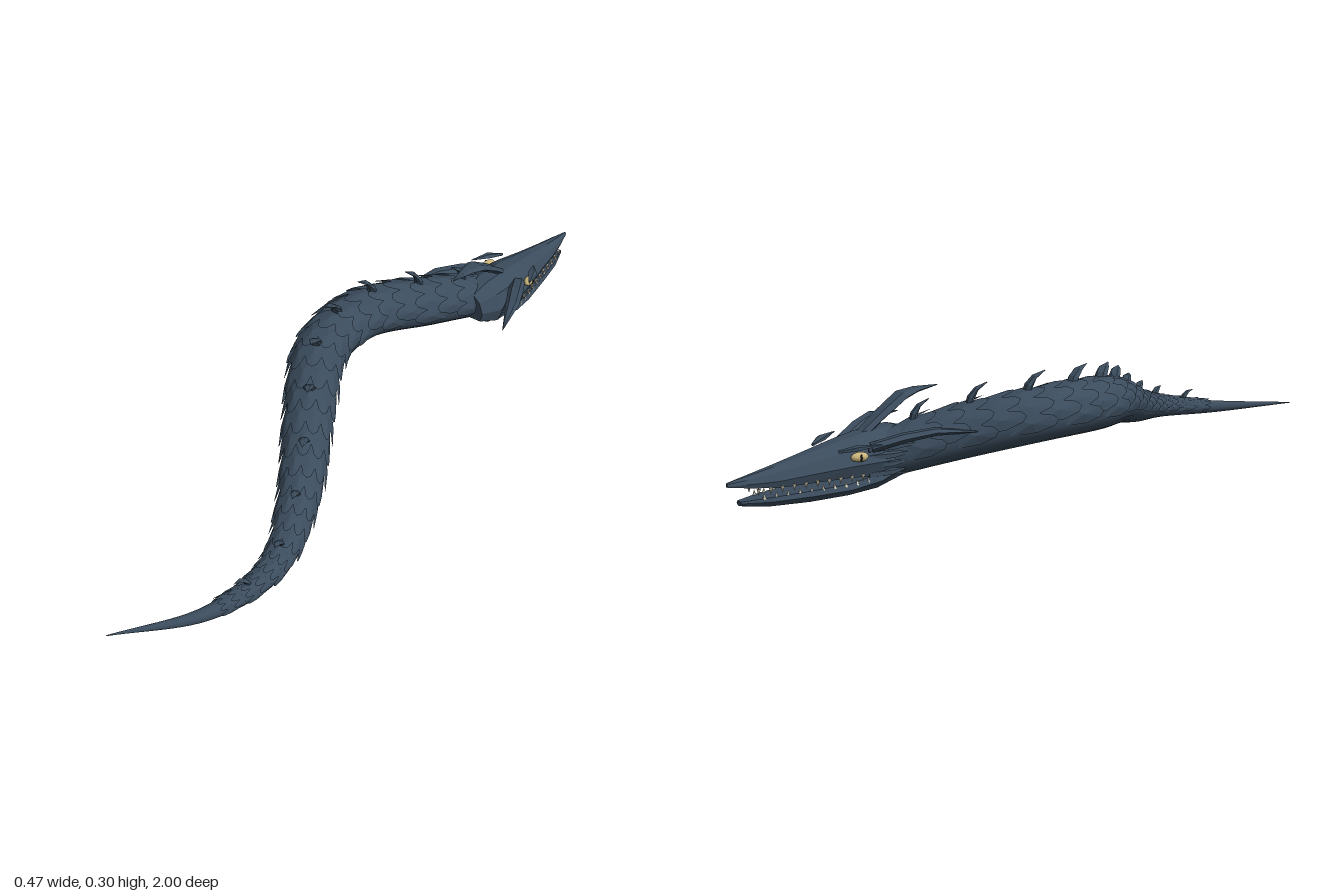
import * as THREE from 'three';
import { mergeGeometries } from 'three/addons/utils/BufferGeometryUtils.js';

const V = (x, y, z) => new THREE.Vector3(x, y, z);
const UP = V(0, 1, 0);
const HX = 0.02; // head centre line

// spine stations every 0.2 in z from -0.6 to 1: x, y, half width, half height
const STATIONS = [
  [0.02, 0.11, 0.058, 0.058], [-0.065, 0.152, 0.069, 0.065], [-0.15, 0.183, 0.072, 0.066],
  [-0.137, 0.179, 0.07, 0.065], [-0.02, 0.143, 0.062, 0.058], [0.11, 0.084, 0.051, 0.047],
  [0.193, 0.042, 0.034, 0.031], [0.155, 0.02, 0.018, 0.018], [0.02, 0.025, 0.001, 0.001],
];
const spineCurve = new THREE.CatmullRomCurve3(STATIONS.map((s, i) => V(s[0], s[1], -0.6 + 0.2 * i)), false, 'catmullrom');
const sizeCurve = new THREE.CatmullRomCurve3(STATIONS.map(s => V(s[2], s[3], 0)), false, 'catmullrom');

// local frame of the body at a given z
function bodyFrame(z) {
  const t = THREE.MathUtils.clamp((z + 0.6) / 1.6, 0, 1);
  const dir = spineCurve.getTangent(t);
  const side = UP.clone().cross(dir).normalize();
  const size = sizeCurve.getPoint(t);
  return { c: spineCurve.getPoint(t), dir, side, up: dir.clone().cross(side), rx: Math.max(size.x, 0.001), ry: Math.max(size.y, 0.001) };
}

function bodyPoint(f, angle, lift = 0) {
  return f.c.clone().addScaledVector(f.side, Math.cos(angle) * (f.rx + lift))
    .addScaledVector(f.up, Math.sin(angle) * (f.ry + lift));
}

// skin a list of equal rings and close both ends
function loft(rings, flat = true) {
  const n = rings[0].length, pos = [], idx = [];
  rings.forEach(r => r.forEach(p => pos.push(p.x, p.y, p.z)));
  for (let i = 0; i < rings.length - 1; i++) for (let j = 0; j < n; j++) {
    const a = i * n + j, b = i * n + (j + 1) % n;
    idx.push(a, b, a + n, b, b + n, a + n);
  }
  const last = (rings.length - 1) * n;
  for (let j = 1; j < n - 1; j++) idx.push(0, j + 1, j, last, last + j, last + j + 1);
  let g = new THREE.BufferGeometry();
  g.setAttribute('position', new THREE.Float32BufferAttribute(pos, 3));
  g.setIndex(idx);
  if (flat) g = g.toNonIndexed();
  g.computeVertexNormals();
  return g;
}

// tapering spike along points [x, y, z, half width, half thickness]
function spike(stations, sides = 6) {
  const pts = stations.map(s => V(s[0], s[1], s[2]));
  return loft(pts.map((p, i) => {
    const dir = pts[Math.min(i + 1, pts.length - 1)].clone().sub(pts[Math.max(i - 1, 0)]).normalize();
    const side = UP.clone().cross(dir).normalize(), up = dir.clone().cross(side);
    return Array.from({ length: sides }, (_, j) => {
      const a = j / sides * Math.PI * 2;
      return p.clone().addScaledVector(side, Math.cos(a) * stations[i][3]).addScaledVector(up, Math.sin(a) * stations[i][4]);
    });
  }));
}

// head part from sections [z, half width, bottom, top] and a unit outline
const headLoft = (sections, outline) => loft(sections.map(([z, w, b, t]) =>
  outline.map(([x, y]) => V(HX + x * w, b + y * (t - b), z))));

// overlapping rows of large pointed scales over the back and flanks
function scalesGeometry() {
  const outline = [[-1, 0, 0], [1, 0, 0], [1, 0.55, 0.5], [0.5, 0.9, 0.9], [0, 1, 1], [-0.5, 0.9, 0.9], [-1, 0.55, 0.5]];
  const pos = [], half = THREE.MathUtils.degToRad(20);
  let row = 0;
  for (let z = -0.53; z < 0.74; row++) {
    const rx = bodyFrame(z).rx, len = 0.025 + rx * 1.05;
    const count = row % 2 ? 5 : 6;
    for (let k = 0; k < count; k++) {
      const mid = Math.PI / 2 + (k - (count - 1) / 2) * half * 1.75;
      const at = ([u, v, h]) => bodyPoint(bodyFrame(z + v * len), mid + u * half, 0.001 + h * (0.003 + rx * 0.12));
      const centre = at([0, 0.45, 0.65]), pts = outline.map(at);
      pts.forEach((p, i) => [centre, p, pts[(i + 1) % pts.length]].forEach(q => pos.push(q.x, q.y, q.z)));
    }
    z += len * 0.62;
  }
  const g = new THREE.BufferGeometry();
  g.setAttribute('position', new THREE.Float32BufferAttribute(pos, 3));
  g.computeVertexNormals();
  return g;
}

export function createModel() {
  const root = new THREE.Group();
  root.name = 'seaSerpent';
  const material = (name, color, extra) => {
    const m = new THREE.MeshStandardMaterial({ color, ...extra });
    m.name = name;
    return m;
  };
  const hide = material('slateHide', 0x3b4c5d, { side: THREE.DoubleSide });
  const ivory = material('ivoryTeeth', 0xd8d3bc);
  const amber = material('paleAmberEye', 0xcbb67c);
  const black = material('blackPupil', 0x14181c);
  const add = (name, geometry, mat = hide, parent = root) => {
    const m = new THREE.Mesh(geometry, mat);
    m.name = name;
    parent.add(m);
    return m;
  };

  // body and tail
  const rings = [];
  for (let i = 0; i <= 80; i++) {
    const f = bodyFrame(-0.6 + 1.6 * i / 80);
    rings.push(Array.from({ length: 20 }, (_, j) => bodyPoint(f, j / 20 * Math.PI * 2)));
  }
  add('body', loft(rings, false));
  add('scales', scalesGeometry());

  // hooked spines along the back
  const hook = spike([[0, -0.012, -0.002, 0.019, 0.014], [0, 0.016, 0.007, 0.017, 0.009],
    [0, 0.034, 0.024, 0.014, 0.005], [0, 0.045, 0.054, 0.001, 0.001]]);
  const backSpines = new THREE.Group();
  backSpines.name = 'backSpines';
  root.add(backSpines);
  for (let i = 0; i < 10; i++) {
    const f = bodyFrame(-0.49 + i * 0.131), s = Math.max(0.65, f.rx / 0.07);
    const m = add('backSpine', hook, hide, backSpines);
    m.quaternion.setFromRotationMatrix(new THREE.Matrix4().makeBasis(f.side, f.up, f.dir));
    m.position.copy(bodyPoint(f, Math.PI / 2));
    m.scale.setScalar(s);
  }

  // skull and lower jaw
  const head = new THREE.Group();
  head.name = 'head';
  root.add(head);
  add('skull', headLoft([[-1, 0.004, 0.104, 0.114], [-0.95, 0.018, 0.096, 0.122], [-0.88, 0.033, 0.087, 0.134],
    [-0.8, 0.047, 0.086, 0.149], [-0.7, 0.07, 0.086, 0.168], [-0.62, 0.08, 0.08, 0.181],
    [-0.54, 0.07, 0.07, 0.186], [-0.48, 0.045, 0.09, 0.17]],
  [[1, 0.35], [0.75, 0.75], [0.25, 1], [-0.25, 1], [-0.75, 0.75], [-1, 0.35], [-0.85, 0], [0.85, 0]]), hide, head);
  add('lowerJaw', headLoft([[-0.97, 0.01, 0.055, 0.066], [-0.9, 0.033, 0.043, 0.068], [-0.8, 0.05, 0.037, 0.069],
    [-0.7, 0.066, 0.037, 0.071], [-0.62, 0.076, 0.042, 0.086], [-0.52, 0.055, 0.06, 0.11]],
  [[1, 0.6], [0.9, 1], [-0.9, 1], [-1, 0.6], [-0.7, 0.12], [-0.25, 0], [0.25, 0], [0.7, 0.12]]), hide, head);

  // central crest horn
  add('crestHorn', spike([[HX, 0.165, -0.635, 0.022, 0.011], [HX, 0.208, -0.575, 0.027, 0.011],
    [HX, 0.251, -0.505, 0.031, 0.011], [HX, 0.26, -0.46, 0.019, 0.007], [HX, 0.263, -0.39, 0.001, 0.001]]), hide, head);

  for (const s of [1, -1]) {
    const X = x => HX + s * x;
    const side = s > 0 ? 'left' : 'right';

    // swept horn, brow spike and cheek frill
    add(side + 'Horn', spike([[X(0.06), 0.15, -0.64, 0.02, 0.012], [X(0.095), 0.169, -0.57, 0.022, 0.012],
      [X(0.13), 0.18, -0.5, 0.019, 0.01], [X(0.17), 0.17, -0.39, 0.001, 0.001]]), hide, head);
    add(side + 'Brow', spike([[X(0.054), 0.152, -0.73, 0.004, 0.004], [X(0.076), 0.159, -0.69, 0.014, 0.007],
      [X(0.1), 0.163, -0.635, 0.001, 0.001]], 5), hide, head);
    const frill = [0, 1, 2, 3].map(i => {
      const y = 0.148 - i * 0.021;
      return spike([[X(0.06), y, -0.65, 0.01, 0.01], [X(0.079 - i * 0.003), y, -0.59, 0.011, 0.009],
        [X(0.1 - i * 0.01), y + 0.004, -0.5 - i * 0.01, 0.001, 0.001]], 5);
    });
    add(side + 'CheekFrill', mergeGeometries(frill), hide, head);

    // slanted eye with a slit pupil
    const eye = new THREE.Group();
    eye.name = side + 'Eye';
    eye.position.set(X(0.071), 0.136, -0.682);
    eye.rotation.set(0, s * 0.22, 0);
    head.add(eye);
    add('eyeball', new THREE.SphereGeometry(1, 12, 8), amber, eye).scale.set(0.013, 0.012, 0.023);
    const pupil = add('pupil', new THREE.SphereGeometry(1, 8, 6), black, eye);
    pupil.scale.set(0.003, 0.009, 0.003);
    pupil.position.x = s * 0.0115;

    // small teeth along both jaw edges
    const teeth = [];
    for (let i = 0; i < 10; i++) {
      const z = -0.93 + i * 0.029;
      const w = THREE.MathUtils.mapLinear(z, -0.93, -0.67, 0.021, 0.065);
      teeth.push(new THREE.ConeGeometry(0.005, 0.017, 5).rotateX(Math.PI).translate(X(w), 0.083, z));
      teeth.push(new THREE.ConeGeometry(0.005, 0.015, 5).translate(X(w + 0.001), 0.073, z + 0.0145));
    }
    add(side + 'Teeth', mergeGeometries(teeth), ivory, head);
  }
  return root;
}
